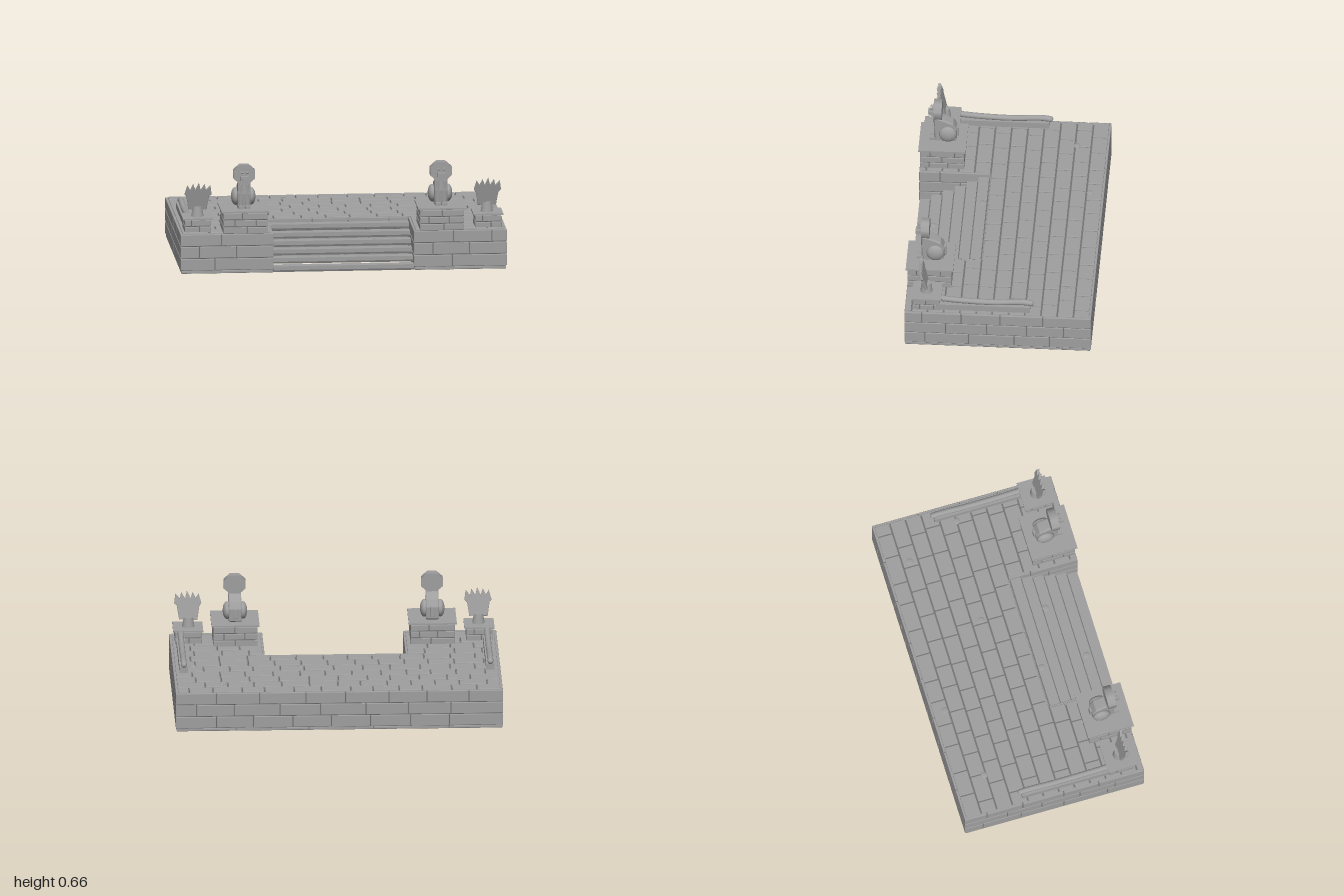
import * as THREE from 'three';
import { RoundedBoxGeometry } from 'three/addons/geometries/RoundedBoxGeometry.js';

const stone = new THREE.MeshStandardMaterial({ color: 0x9f9f9f });
stone.name = 'stone';
const mortar = new THREE.MeshStandardMaterial({ color: 0x767676 });
mortar.name = 'mortar';

let seed = 7;
const rand = () => (seed = (seed * 16807) % 2147483647) / 2147483647;

function add(parent, name, geo, x = 0, y = 0, z = 0, mat = stone) {
  const m = new THREE.Mesh(geo, mat);
  m.name = name;
  m.position.set(x, y, z);
  parent.add(m);
  return m;
}

// Box given by its limits
function box(parent, name, x0, x1, y0, y1, z0, z1, mat = stone) {
  return add(parent, name, new THREE.BoxGeometry(x1 - x0, y1 - y0, z1 - z0),
    (x0 + x1) / 2, (y0 + y1) / 2, (z0 + z1) / 2, mat);
}

// One course of blocks along x, every other course shifted by half a block
function course(parent, name, x0, x1, y0, y1, z0, z1, len, shift, gap) {
  let x = x0;
  let first = true;
  while (x < x1 - 1e-4) {
    let w = len * (0.85 + rand() * 0.3);
    if (first && shift) w *= 0.5;
    first = false;
    if (x + w > x1 - len * 0.35) w = x1 - x;
    const g = x + w < x1 - 1e-4 ? gap : 0;
    add(parent, name, new RoundedBoxGeometry(w - g, y1 - y0, z1 - z0, 1, 0.004),
      x + (w - g) / 2, (y0 + y1) / 2, (z0 + z1) / 2);
    x += w;
  }
}

// Block facing that follows a closed outline of [x, z] points
function facing(parent, name, pts, y0, y1, rows, len, gap) {
  const h = (y1 - y0) / rows;
  pts.forEach(([ax, az], i) => {
    const [bx, bz] = pts[(i + 1) % pts.length];
    const side = new THREE.Group();
    side.name = name;
    side.position.set(ax, 0, az);
    side.rotation.y = Math.atan2(az - bz, bx - ax);
    const L = Math.hypot(bx - ax, bz - az);
    for (let r = 0; r < rows; r++)
      course(side, name + 'Block', 0, L, y0 + r * h, y0 + (r + 1) * h - gap, -0.02, 0, len, (r + i) % 2, gap);
    parent.add(side);
  });
}

const rect = (x0, x1, z0, z1) => [[x0, z1], [x1, z1], [x1, z0], [x0, z0]];

function pedestal(parent, name, cx, cz, hx, hz, y0, y1, rows, len) {
  const g = new THREE.Group();
  g.name = name;
  box(g, 'pedestalCore', cx - hx + 0.006, cx + hx - 0.006, y0, y1, cz - hz + 0.006, cz + hz - 0.006, mortar);
  facing(g, 'pedestalWall', rect(cx - hx, cx + hx, cz - hz, cz + hz), y0, y1, rows, len, 0.004);
  box(g, 'pedestalCap', cx - hx - 0.012, cx + hx + 0.012, y1, y1 + 0.01, cz - hz - 0.01, cz + hz + 0.01);
  parent.add(g);
}

// Seated guardian lion, standing on local y = 0 and facing +z
function guardianLion() {
  const g = new THREE.Group();
  g.name = 'guardianLion';
  const profile = new THREE.Shape([[0.055, 0], [0.065, 0.09], [0.062, 0.16], [0.02, 0.148],
    [-0.045, 0.12], [-0.066, 0.08], [-0.064, 0.01], [-0.05, 0]].map(p => new THREE.Vector2(...p)));
  const body = new THREE.ExtrudeGeometry(profile, {
    depth: 0.05, bevelThickness: 0.014, bevelSize: 0.005, bevelSegments: 2 });
  body.translate(0, 0, -0.025).rotateY(-Math.PI / 2);
  add(g, 'body', body);
  const mane = new THREE.CylinderGeometry(0.072, 0.072, 0.05, 8).rotateY(Math.PI / 8).rotateX(Math.PI / 2).scale(1, 0.89, 1);
  add(g, 'mane', mane, 0, 0.21, 0.046);
  box(g, 'muzzle', -0.024, 0.024, 0.177, 0.203, 0.066, 0.105);
  box(g, 'mouth', -0.016, 0.016, 0.186, 0.192, 0.105, 0.108);
  box(g, 'brow', -0.028, 0.028, 0.222, 0.232, 0.066, 0.078);
  for (const s of [-1, 1]) {
    add(g, 'eye', new THREE.SphereGeometry(0.007, 10, 8), s * 0.016, 0.224, 0.087);
    add(g, 'frontLeg', new THREE.CylinderGeometry(0.016, 0.014, 0.15, 10), s * 0.02, 0.075, 0.056);
    box(g, 'paw', s * 0.02 - 0.016, s * 0.02 + 0.016, 0, 0.018, 0.04, 0.097);
    add(g, 'haunch', new THREE.SphereGeometry(0.054, 20, 14).scale(0.5, 1, 1), s * 0.048, 0.06, -0.016);
  }
  add(g, 'tail', new RoundedBoxGeometry(0.03, 0.065, 0.018, 1, 0.005), 0, 0.055, -0.073);
  return g;
}

// Many-headed fan that ends each railing
function fanFinial() {
  const g = new THREE.Group();
  g.name = 'fanFinial';
  add(g, 'stem', new THREE.CylinderGeometry(0.028, 0.038, 0.06, 16), 0, 0.03, 0);
  const s = new THREE.Shape();
  s.moveTo(-0.054, 0);
  s.lineTo(0.054, 0);
  s.lineTo(0.067, 0.085);
  s.lineTo(0.083, 0.1);
  // five pointed heads across the top edge
  for (let i = 0; i < 5; i++) {
    const u = 2 - i;
    s.lineTo(u * 0.035 + 0.006, 0.172 - Math.abs(u) * 0.008);
    s.lineTo(u * 0.032 - 0.015, i < 4 ? 0.125 : 0.1);
  }
  s.lineTo(-0.067, 0.085);
  const fan = add(g, 'fan', new THREE.ExtrudeGeometry(s, {
    depth: 0.012, bevelThickness: 0.003, bevelSize: 0.002, bevelSegments: 1 }), 0, 0.045, -0.005);
  fan.rotation.x = 0.24;
  return g;
}

export function createModel() {
  const model = new THREE.Group();
  model.name = 'stoneTerrace';
  const wings = [[-0.994, -0.434], [0.434, 0.994]];

  // Platform core with a recess for the stairs
  const core = new THREE.Group();
  core.name = 'platformCore';
  model.add(core);
  box(core, 'mainCore', -0.994, 0.994, 0, 0.239, -0.57, 0.124, mortar);
  for (const [a, b] of wings) {
    box(core, 'wingCore', a, b, 0.01, 0.239, 0.12, 0.56, mortar);
    box(core, 'wingBase', a, b, 0, 0.01, 0.124, 0.56);
  }

  const outline = [[-1, 0.566], [-0.43, 0.566], [-0.43, 0.13], [0.43, 0.13], [0.43, 0.566],
    [1, 0.566], [1, -0.576], [-1, -0.576]];
  facing(model, 'platformWall', outline, 0.02, 0.247, 3, 0.25, 0.004);
  // Plinth strip under the walls
  const inset = outline.map(([x, z]) => [
    x - Math.sign(x) * 0.004 * (Math.abs(x) > 0.5 ? 1 : -1), z > 0.5 ? z - 0.003 : z < 0 ? z + 0.004 : z]);
  facing(model, 'plinth', inset, 0, 0.021, 1, 0.43, 0.002);

  // Paving courses
  const paving = new THREE.Group();
  paving.name = 'paving';
  model.add(paving);
  for (let r = 0; r < 11; r++) {
    const z0 = -0.563 + r * 0.0992;
    const z1 = Math.min(z0 + 0.092, 0.52);
    const spans = r < 7 ? [[-0.985, 0.985]] : [[-0.985, -0.443], [0.443, 0.985]];
    for (const [a, b] of spans) course(paving, 'pavingSlab', a, b, 0.225, 0.249, z0, z1, 0.16, r % 2, 0.007);
  }
  for (const [a, b] of wings) box(paving, 'edgeSlab', a + 0.009, b - 0.009, 0.23, 0.247, 0.528, 0.555);

  // Stairs: stone treads over recessed risers
  const stairs = new THREE.Group();
  stairs.name = 'stairs';
  model.add(stairs);
  for (let i = 0; i < 6; i++) {
    const z = 0.563 - i * 0.0725;
    const y = i * 0.037;
    box(stairs, 'riser', -0.43, 0.43, y, y + 0.03, z - 0.085, z - 0.01, mortar);
    box(stairs, 'tread', -0.43, 0.43, y + 0.013, y + 0.037, z - 0.063, z);
  }

  // Pedestals, statues, parapets and railings on both wings
  for (const s of [-1, 1]) {
    pedestal(model, 'lionPedestal', s * 0.603, 0.429, 0.135, 0.135, 0.245, 0.375, 3, 0.13);
    const lion = guardianLion();
    lion.position.set(s * 0.603, 0.387, 0.415);
    model.add(lion);

    pedestal(model, 'finialPedestal', s * 0.89, 0.432, 0.08, 0.08, 0.245, 0.325, 2, 0.09);
    const finial = fanFinial();
    finial.position.set(s * 0.887, 0.335, 0.437);
    model.add(finial);

    box(model, 'parapet', s * 0.937 - 0.026, s * 0.937 + 0.026, 0.24, 0.287, -0.2, 0.36);
    const path = new THREE.CatmullRomCurve3([[0.36, 0.318], [0.25, 0.308], [0.1, 0.301], [0, 0.301],
      [-0.1, 0.308], [-0.16, 0.309], [-0.205, 0.304]].map(([z, y]) => new THREE.Vector3(s * 0.937, y, z)));
    add(model, 'railing', new THREE.TubeGeometry(path, 40, 0.018, 12));
    add(model, 'railingEnd', new THREE.SphereGeometry(0.018, 12, 8), s * 0.937, 0.304, -0.205);
  }

  // Loose worn stones
  for (const [x, y, z] of [[-0.28, 0.249, -0.49], [-0.75, 0.249, -0.38], [0.22, 0.249, -0.11],
    [0.71, 0.249, -0.42], [0.88, 0.249, -0.07], [-0.17, 0.222, 0.16], [0.22, 0.148, 0.3], [-0.12, 0.074, 0.46]])
    add(model, 'looseStone', new THREE.SphereGeometry(0.023, 7, 5).scale(1, 0.2, 1), x, y, z);

  return model;
}
